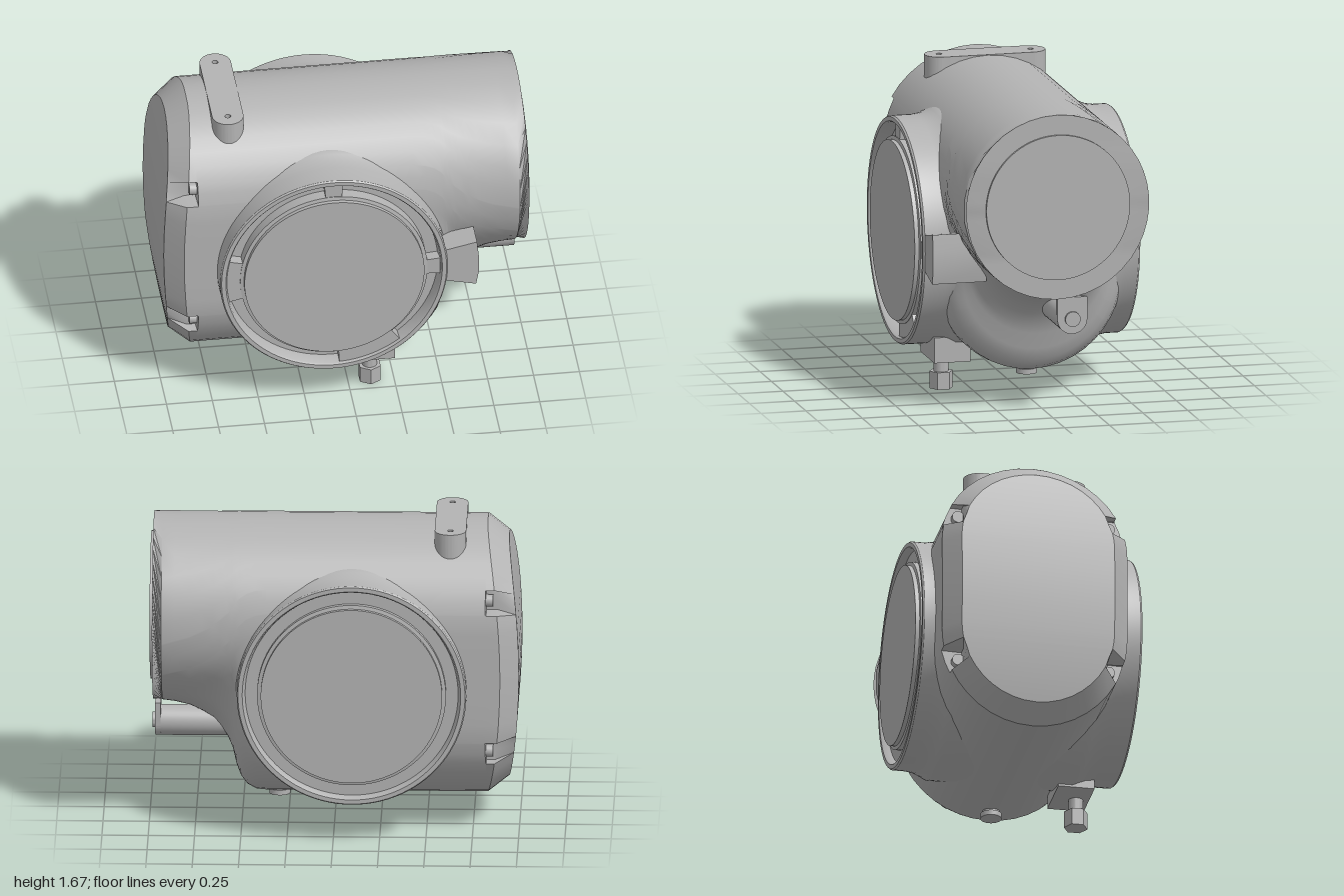
import * as THREE from 'three';
import { toCreasedNormals } from 'three/addons/utils/BufferGeometryUtils.js';

const TOP = 1.16, LOW = 0.65, R = 0.51, ZC = -0.03, RAD = Math.PI / 180;

export function createModel() {
  const group = new THREE.Group();
  const grey = new THREE.MeshStandardMaterial({ color: 0xb3b3b3 });
  grey.name = 'castGrey';

  function add(name, geometry, x = 0, y = 0, z = 0) {
    const mesh = new THREE.Mesh(toCreasedNormals(geometry, 0.55), grey);
    mesh.name = name;
    mesh.position.set(x, y, z);
    group.add(mesh);
    return mesh;
  }
  const rod = (r, h, n = 32) => new THREE.CylinderGeometry(r, r, h, n);
  const rodX = (r, h, n = 32) => rod(r, h, n).rotateZ(-Math.PI / 2);
  const extrude = (shape, depth) =>
    new THREE.ExtrudeGeometry(shape, { depth, bevelEnabled: false, curveSegments: 20 });

  // Housing: two-arc sections lofted along x, the lower arc blending into the upper barrel
  const angles = [0, 6, 12, 12.6, 20, 27, 27.6, 36];
  for (let a = 45; a <= 135; a += 9) angles.push(a);
  angles.push(144, 152.4, 153, 160, 167.4, 168, 174, 180);
  const bow = y => -1 + 0.06 * ((y - 0.905) / 0.675) ** 2;

  function section(R1, yc, r) {
    const d = TOP - yc;
    const t = d > 1e-4 ? Math.asin(Math.min(1, (R1 - r) / d)) / RAD : 0;
    const pts = [];
    const arc = (cy, rad, mid, spread) => angles.forEach(a => {
      const th = (mid + (a - 90) * spread / 180) * RAD;
      pts.push([rad * Math.cos(th), cy + rad * Math.sin(th)]);
    });
    const side = (from, to) => {
      for (let i = 1; i < 4; i++) pts.push([0, 1].map(k => from[k] + (to[k] - from[k]) * i / 4));
    };
    arc(TOP, R1, 90, 180 + 2 * t);
    const first = pts[0], upperEnd = pts[pts.length - 1];
    const th = (270 - (180 - 2 * t) / 2) * RAD;
    side(upperEnd, [r * Math.cos(th), yc + r * Math.sin(th)]);
    arc(yc, r, 270, 180 - 2 * t);
    side(pts[pts.length - 1], first);
    pts.push(first);
    return pts;
  }
  // Bolt pockets are pressed into the four corners near the left end
  const inPocket = y => [1.33, 0.48].some(c => Math.abs(y - c) < 0.0625);
  const pocket = ([z, y]) => [inPocket(y) ? Math.sign(z) * Math.min(Math.abs(z), 0.39) : z, y];

  const rings = [];
  const inset = section(0.42, LOW, 0.42), full = section(R, LOW, R);
  rings.push(inset.map(([, y]) => [bow(y), y, 0]));
  rings.push(inset.map(p => [bow(p[1]), p[1], pocket(p)[0]]));
  rings.push(full.map(p => [bow(p[1]) + 0.1, p[1], pocket(p)[0]]));
  rings.push(full.map(p => [-0.825, p[1], pocket(p)[0]]));
  // x, lowest y, lower radius
  [[-0.82, 0.14, R], [0.36, 0.14, R], [0.42, 0.145, 0.5], [0.47, 0.17, 0.475], [0.505, 0.215, 0.44],
    [0.53, 0.28, 0.41], [0.55, 0.37, 0.39], [0.575, 0.43, 0.38], [0.61, 0.49, 0.38], [0.65, 0.54, 0.385],
    [0.71, 0.58, 0.4], [0.78, 0.615, 0.435], [0.86, 0.637, 0.475], [0.93, 0.647, 0.5], [0.98, 0.65, R],
  ].forEach(([x, low, r]) => rings.push(section(R, low + r, r).map(([z, y]) => [x, y, z])));
  rings.push(rings[rings.length - 1].map(([x, y]) => [x, y, 0]));

  const pos = [], idx = [], n = full.length;
  rings.forEach(ring => ring.forEach(([x, y, z]) => pos.push(x, y, z + ZC)));
  for (let i = 0; i < rings.length - 1; i++) {
    for (let j = 0; j < n - 1; j++) {
      const a = i * n + j, b = a + n;
      idx.push(a, b, a + 1, b, b + 1, a + 1);
    }
  }
  const housing = new THREE.BufferGeometry();
  housing.setAttribute('position', new THREE.Float32BufferAttribute(pos, 3));
  housing.setIndex(idx);
  add('housing', housing);

  // Round ports with a flared root, a groove and a raised cover
  function port(name, side, rim, root, groove) {
    const profile = [[0.66, 0.1], [0.66, root], [0.645, root + 0.03], [0.628, root + 0.07], [0.62, root + 0.12],
      [0.62, rim - 0.01], [0.613, rim], [0.59, rim], [0.583, rim - 0.01], [0.575, rim - groove],
      [0.51, rim - groove], [0.51, rim - 0.012], [0.49, rim - 0.008], [0.49, rim + 0.015], [0, rim + 0.015]]
      .map(p => new THREE.Vector2(...p));
    add(name, new THREE.LatheGeometry(profile, 96).rotateX(side * Math.PI / 2), -0.1, 0.835, 0);
  }
  port('frontPort', 1, 0.6, 0.35, 0.08);
  port('backPort', -1, 0.61, 0.41, 0.04);

  // Blocks bridging the front groove: start and end angle
  [[85, 95], [167, 193], [-5, 5], [-87, -52]].forEach(([a, b]) => {
    const s = new THREE.Shape();
    s.absarc(0, 0, 0.582, a * RAD, b * RAD, false);
    s.absarc(0, 0, 0.508, b * RAD, a * RAD, true);
    add('grooveBlock', extrude(s, 0.07), -0.1, 0.835, 0.515);
  });

  // Cover on the barrel end
  add('barrelCover', rodX(0.4, 0.04, 80), 0.975, TOP, ZC);

  // Mounting bar on top with two holes
  const bar = new THREE.Shape();
  bar.absarc(0, 0.25, 0.085, 0, Math.PI, false);
  bar.absarc(0, -0.25, 0.085, Math.PI, Math.PI * 2, false);
  [0.255, -0.255].forEach(v => {
    const hole = new THREE.Path();
    hole.absarc(0, v, 0.016, 0, Math.PI * 2, true);
    bar.holes.push(hole);
  });
  add('mountingBar', extrude(bar, 0.2).rotateX(-Math.PI / 2), -0.627, 1.473, -0.035);

  // Side tab beside the front port
  const tab = new THREE.Shape([[0.48, 0.74], [0.52, 0.735], [0.675, 0.7], [0.69, 0.78], [0.69, 0.88],
    [0.68, 0.975], [0.52, 0.94], [0.48, 0.93]].map(p => new THREE.Vector2(...p)));
  add('sideTab', extrude(tab, 0.3), 0, 0, 0.29);

  // Lug under the barrel with its screw
  const lug = new THREE.Shape();
  lug.moveTo(0.083, 0.12);
  lug.lineTo(-0.083, 0.12);
  lug.lineTo(-0.083, 0);
  lug.absarc(0, 0, 0.083, Math.PI, Math.PI * 2, false);
  add('lug', extrude(lug, 0.03).rotateY(Math.PI / 2), 0.94, 0.535, -0.115);
  add('lugStem', rodX(0.083, 0.5), 0.71, 0.535, -0.115);
  add('lugScrew', rodX(0.042, 0.05), 0.96, 0.535, -0.115);

  // Pad, stem and hex nut below the front port
  add('fittingPad', new THREE.BoxGeometry(0.3, 0.14, 0.2), 0.1, 0.235, 0.37);
  add('fittingStem', rod(0.04, 0.14), 0.12, 0.14, 0.4);
  add('fittingNut', rod(0.065, 0.094, 6), 0.12, 0.047, 0.4);

  // Drain plug
  add('plugNeck', rod(0.046, 0.1), 0.3, 0.15, ZC);
  add('plugHead', rod(0.057, 0.028), 0.3, 0.114, ZC);

  // Bolts inside the corner pockets
  for (const y of [1.33, 0.48]) {
    for (const side of [1, -1]) add('cornerBolt', rodX(0.033, 0.04, 20), -0.842, y, ZC + side * 0.415);
  }
  return group;
}
